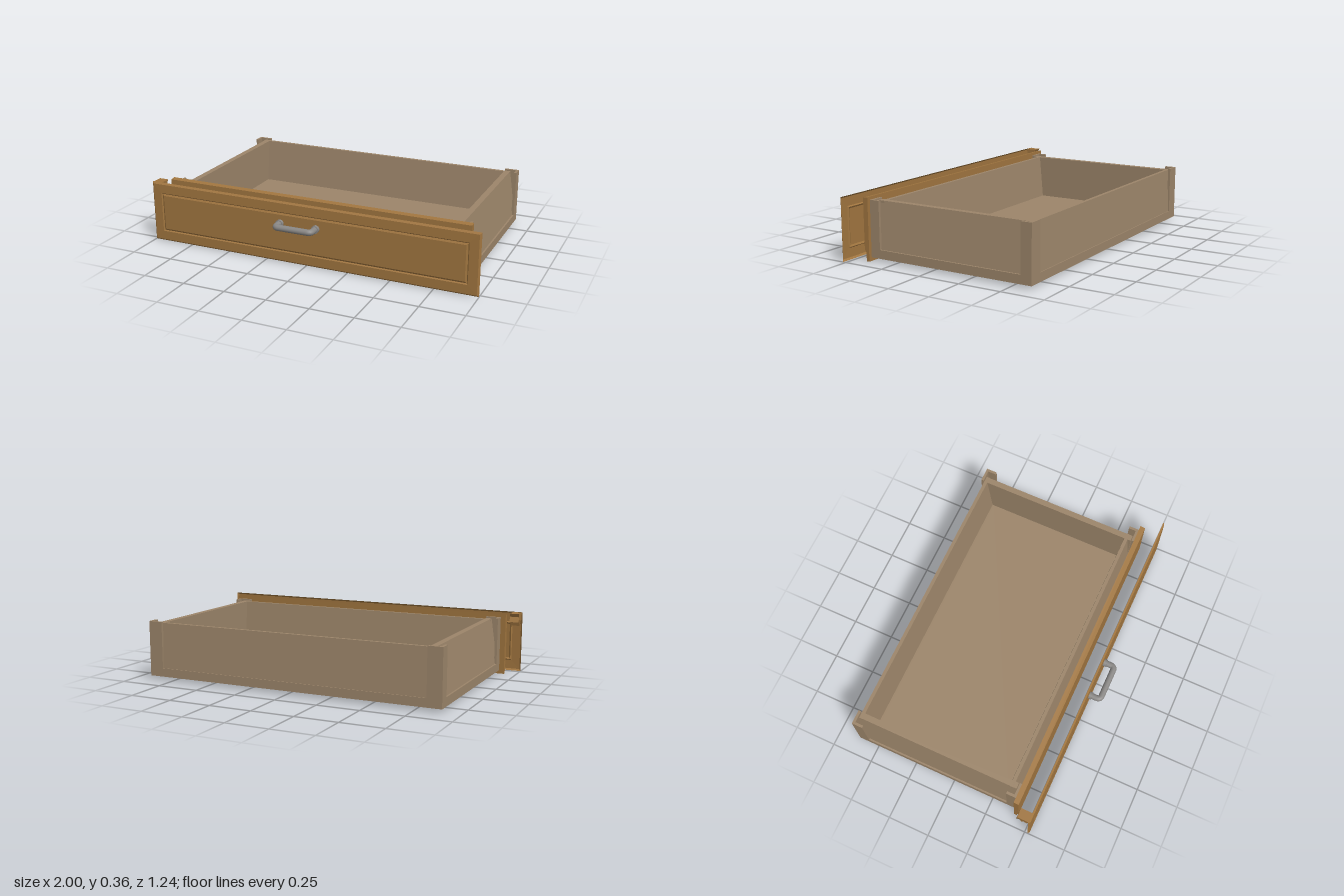
import * as THREE from 'three';

const mat = (name, color, side = THREE.FrontSide) => {
  const m = new THREE.MeshStandardMaterial({ color, side });
  m.name = name;
  return m;
};

// Extrudes a profile along z from `from` to `to`
function extrude(points, from, to, hole) {
  const shape = new THREE.Shape(points.map(p => new THREE.Vector2(...p)));
  if (hole) shape.holes.push(new THREE.Path(hole.map(p => new THREE.Vector2(...p))));
  return new THREE.ExtrudeGeometry(shape, { depth: to - from, bevelEnabled: false }).translate(0, 0, from);
}

// Extrudes a (z, y) profile along x
const extrudeX = (points, x0, x1) => extrude(points, -x1, -x0).rotateY(-Math.PI / 2);

const boxBetween = (x0, x1, y0, y1, z0, z1) =>
  new THREE.BoxGeometry(x1 - x0, y1 - y0, z1 - z0)
    .translate((x0 + x1) / 2, (y0 + y1) / 2, (z0 + z1) / 2);

const rect = (x0, x1, y0, y1) => [[x0, y0], [x1, y0], [x1, y1], [x0, y1]];

// Moulded sheet: nested rectangles, each with its own inset and depth
function mouldedSheet(w, h, rings) {
  const pos = [], index = [];
  rings.forEach(([inset, z], r) => {
    for (const [x, y] of rect(-w / 2 + inset, w / 2 - inset, inset, h - inset)) pos.push(x, y, z);
    if (r === 0) return;
    for (let k = 0; k < 4; k++) {
      const a = (r - 1) * 4 + k, b = (r - 1) * 4 + (k + 1) % 4;
      index.push(a, b, b + 4, a, b + 4, a + 4);
    }
  });
  const c = (rings.length - 1) * 4;
  index.push(c, c + 1, c + 2, c, c + 2, c + 3);
  const g = new THREE.BufferGeometry();
  g.setAttribute('position', new THREE.Float32BufferAttribute(pos, 3));
  g.setIndex(index);
  const flat = g.toNonIndexed();
  flat.computeVertexNormals();
  return flat;
}

export function createModel() {
  const model = new THREE.Group();
  model.name = 'drawer';
  const tan = mat('tanWood', 0x9c856a);
  const brown = mat('honeyWood', 0xa0753f);
  const brownSheet = mat('honeyWoodSheet', 0xa0753f, THREE.DoubleSide);
  const grey = mat('greyMetal', 0x8a8886);
  const add = (name, geometry, material) => {
    const mesh = new THREE.Mesh(geometry, material);
    mesh.name = name;
    model.add(mesh);
  };

  // Base frame and slightly recessed floor
  add('baseFrame', extrude(rect(-0.9, 0.9, -0.4, 0.62), 0.02, 0.07,
    rect(-0.81, 0.81, -0.31, 0.54)).rotateX(-Math.PI / 2), tan);
  add('floor', boxBetween(-0.81, 0.81, 0.024, 0.07, -0.54, 0.31), tan);

  // Side walls lean inwards on the outside
  for (const s of [1, -1]) {
    add('sideWall', extrude(
      [[0.89, 0.07], [0.85, 0.335], [0.815, 0.335], [0.815, 0.07]].map(([x, y]) => [s * x, y]),
      -0.6, 0.38), tan);
  }
  // Back and front walls taper towards the top
  add('backWall', extrudeX([[-0.615, 0.07], [-0.6, 0.335], [-0.58, 0.335], [-0.55, 0.07]], -0.852, 0.852), tan);
  add('frontWall', extrudeX([[0.39, 0.07], [0.36, 0.335], [0.34, 0.335], [0.315, 0.07]], -0.852, 0.852), tan);

  // L-shaped corner posts
  for (const s of [1, -1]) {
    for (const [z0, z1, zIn0, zIn1] of [[-0.62, -0.555, -0.62, -0.605], [0.34, 0.4, 0.385, 0.4]]) {
      const span = (a, b) => (s > 0 ? [a, b] : [-b, -a]);
      add('cornerPostSide', boxBetween(...span(0.885, 0.9), 0.07, 0.343, z0, z1), tan);
      add('cornerPostEnd', boxBetween(...span(0.815, 0.885), 0.07, 0.343, zIn0, zIn1), tan);
    }
  }

  // Backing plate behind the front
  add('backingPlate', extrudeX(
    [[0.4, 0], [0.418, 0], [0.42, 0.05], [0.43, 0.065], [0.43, 0.355], [0.4, 0.36]], -0.93, 0.92), brown);

  // Thin front sheet with a framed groove
  add('frontPanel', mouldedSheet(2, 0.362,
    [[0, 0.518], [0.01, 0.528], [0.062, 0.529], [0.068, 0.523], [0.078, 0.529]]), brownSheet);

  // Splintered corner piece
  add('cornerSplinter', extrudeX(
    [[0.52, 0.36], [0.45, 0.36], [0.46, 0.34], [0.445, 0.31], [0.465, 0.325], [0.475, 0.285],
      [0.488, 0.315], [0.505, 0.295], [0.515, 0.33]], -0.995, -0.94), brown);

  // Bow handle
  const path = new THREE.CurvePath();
  const v = (x, z) => new THREE.Vector3(x, 0.235, z);
  path.add(new THREE.LineCurve3(v(-0.155, 0.525), v(-0.155, 0.575)));
  path.add(new THREE.QuadraticBezierCurve3(v(-0.155, 0.575), v(-0.155, 0.597), v(-0.13, 0.597)));
  path.add(new THREE.LineCurve3(v(-0.13, 0.597), v(0.04, 0.597)));
  path.add(new THREE.QuadraticBezierCurve3(v(0.04, 0.597), v(0.065, 0.597), v(0.065, 0.575)));
  path.add(new THREE.LineCurve3(v(0.065, 0.575), v(0.065, 0.525)));
  add('handle', new THREE.TubeGeometry(path, 60, 0.018, 12, false), grey);
  // Handle feet
  for (const x of [-0.155, 0.065]) {
    add('handleFoot', new THREE.CylinderGeometry(0.022, 0.022, 0.02, 16)
      .rotateX(Math.PI / 2).translate(x, 0.235, 0.537), grey);
  }
  return model;
}
